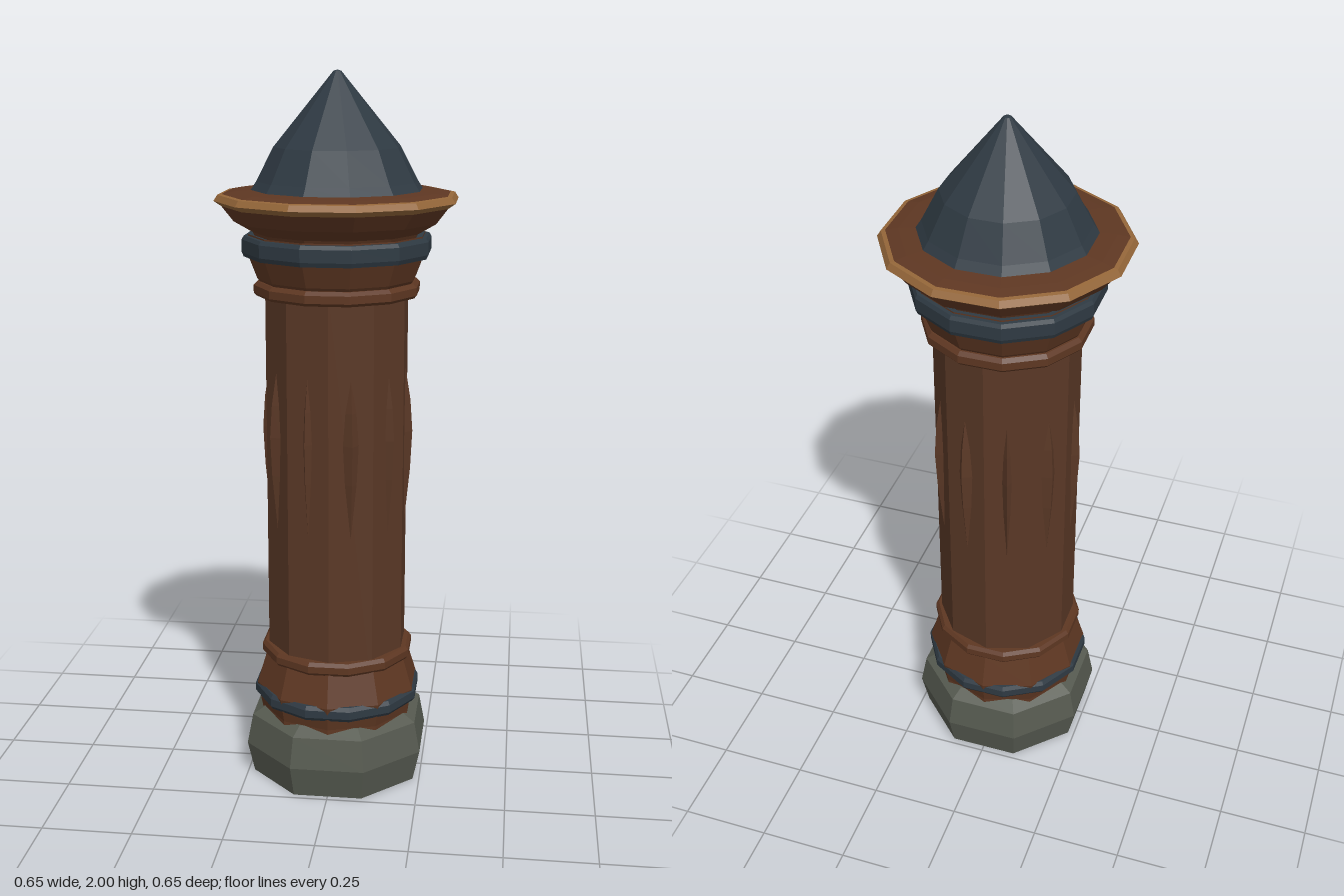
import * as THREE from 'three';

const mat = (name, color) => {
  const m = new THREE.MeshStandardMaterial({ color });
  m.name = name;
  return m;
};

export function createModel() {
  const post = new THREE.Group();
  post.name = 'post';

  const shaftWood = mat('shaft wood', 0x5a3826);
  const trimWood = mat('trim wood', 0x5e3722);
  const metal = mat('dark metal', 0x2f3a43);
  const gold = mat('gilded rim', 0x946639);
  const stone = mat('stone', 0x565a50);

  const add = (name, geometry, material) => {
    const flat = geometry.index ? geometry.toNonIndexed() : geometry;
    flat.computeVertexNormals();
    const mesh = new THREE.Mesh(flat, material);
    mesh.name = name;
    post.add(mesh);
    return mesh;
  };

  // Faceted turning: profile of [radius, y] from bottom to top.
  // With faceFront the radius is measured to the flats and a flat faces +z.
  const turn = (name, material, sides, faceFront, profile) => {
    const k = faceFront ? 1 / Math.cos(Math.PI / sides) : 1;
    const points = profile.map(([r, y]) => new THREE.Vector2(r * k, y));
    const start = faceFront ? Math.PI / sides : 0;
    return add(name, new THREE.LatheGeometry(points, sides, start), material);
  };

  // Stone footing
  turn('stoneBase', stone, 8, true,
    [[0, 0], [0.232, 0], [0.251, 0.09], [0.235, 0.178], [0.2, 0.2], [0, 0.2]]);

  // Lower wooden foot and its iron band
  turn('foot', trimWood, 10, false,
    [[0, 0.15], [0.222, 0.15], [0.222, 0.2], [0.236, 0.27], [0.208, 0.36], [0, 0.36]]);
  turn('footBand', metal, 12, true,
    [[0.2, 0.23], [0.225, 0.23], [0.232, 0.24], [0.232, 0.262], [0.225, 0.273], [0.2, 0.273]]);
  turn('footRing', trimWood, 12, true,
    [[0.18, 0.358], [0.205, 0.358], [0.211, 0.366], [0.211, 0.385], [0.203, 0.395], [0.18, 0.395]]);

  // Ten-sided shaft
  turn('shaft', shaftWood, 10, false, [[0.2, 0.3], [0.2, 1.45]]);

  // Long raised grain slivers, one on each face of the shaft
  for (let i = 0; i < 10; i++) {
    const a = ((i + 0.5) * Math.PI) / 5;
    const sliver = new THREE.LatheGeometry(
      [[0, -0.25], [0.75, -0.09], [1, 0.02], [0.7, 0.11], [0, 0.2]]
        .map(([r, y]) => new THREE.Vector2(r, y)), 4);
    sliver.scale(i % 2 ? 0.013 : 0.022, 1, 0.021);
    const mesh = add('grainSliver', sliver, shaftWood);
    mesh.position.set(0.19 * Math.sin(a), 1, 0.19 * Math.cos(a));
    mesh.rotation.y = a;
  }

  // Neck ring, flared collar and iron collar band
  turn('neckRing', trimWood, 12, true,
    [[0.18, 1.403], [0.215, 1.403], [0.222, 1.411], [0.222, 1.432], [0.212, 1.442], [0.18, 1.442]]);
  turn('collar', trimWood, 12, true,
    [[0.205, 1.44], [0.212, 1.45], [0.235, 1.512], [0.235, 1.57]]);
  turn('collarBand', metal, 12, true,
    [[0.2, 1.51], [0.247, 1.51], [0.252, 1.522], [0.252, 1.556], [0.246, 1.566], [0.2, 1.566]]);

  // Bowl under the rim, gilded rim and the ledge above
  turn('bowl', trimWood, 12, true,
    [[0.215, 1.56], [0.222, 1.575], [0.272, 1.605], [0.303, 1.646]]);
  turn('rim', gold, 12, true,
    [[0.303, 1.646], [0.323, 1.66], [0.313, 1.676], [0.302, 1.678]]);
  turn('ledge', trimWood, 12, true,
    [[0.302, 1.678], [0.27, 1.684], [0.2, 1.69]]);

  // Pointed metal cap
  turn('cap', metal, 12, true,
    [[0.2, 1.682], [0.23, 1.682], [0.212, 1.71], [0.167, 1.8], [0.01, 1.997], [0, 2]]);

  return post;
}
